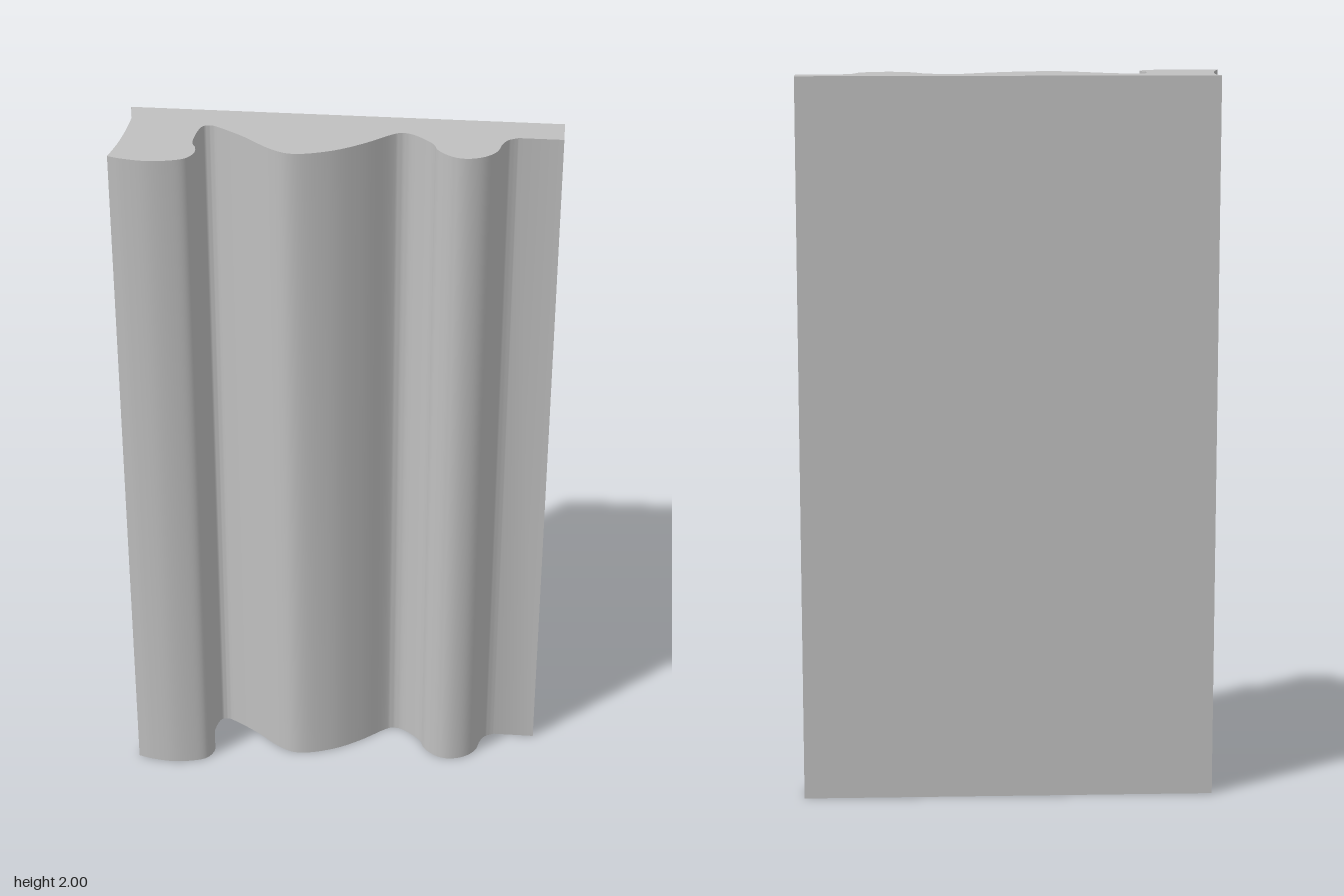
import * as THREE from 'three';
import { toCreasedNormals } from 'three/addons/utils/BufferGeometryUtils.js';

// Profile points are [x, z]; the shape's y axis is -z so it can be stood upright
const toShape = (points) => points.map(([x, z]) => new THREE.Vector2(x, -z));

// Slightly hollow outer edge, from the back to the front corner
const sideEdge = [
  [-0.56, -0.15], [-0.55, -0.1], [-0.553, -0.03], [-0.562, 0.045], [-0.572, 0.095], [-0.58, 0.128],
];

// Moulded face: thick lip, deep cove, broad swell, small bead and flat
const mouldedFace = [
  [-0.58, 0.128], [-0.54, 0.139], [-0.478, 0.146], [-0.42, 0.138], [-0.38, 0.122],
  [-0.361, 0.09], [-0.363, 0.06], [-0.373, 0.035], [-0.37, -0.015], [-0.36, -0.053],
  [-0.343, -0.063], [-0.319, -0.056], [-0.247, -0.009], [-0.17, 0.053], [-0.106, 0.075],
  [-0.013, 0.05], [0.066, 0.003], [0.137, -0.054], [0.166, -0.064], [0.197, -0.053],
  [0.243, -0.013], [0.259, 0.022], [0.294, 0.053], [0.334, 0.063], [0.378, 0.05],
  [0.41, 0.019], [0.422, -0.022], [0.437, -0.048], [0.463, -0.062],
];

export function createModel() {
  const group = new THREE.Group();
  group.name = 'mouldingSection';
  const paintedGrey = new THREE.MeshStandardMaterial({ color: 0xc0c0c0 });
  paintedGrey.name = 'paintedGrey';

  // Closed cross-section with a straight back and square thin edge
  const profile = new THREE.Shape();
  profile.moveTo(-0.56, 0.15);
  profile.splineThru(toShape(sideEdge).slice(1));
  profile.splineThru(toShape(mouldedFace).slice(1));
  profile.lineTo(0.58, 0.062);
  profile.lineTo(0.58, 0.15);
  profile.closePath();

  // Extrude the section along the length and stand it upright
  const geometry = new THREE.ExtrudeGeometry(profile, { depth: 2, bevelEnabled: false, curveSegments: 5 });
  geometry.rotateX(-Math.PI / 2);

  const moulding = new THREE.Mesh(toCreasedNormals(geometry, Math.PI / 5), paintedGrey);
  moulding.name = 'moulding';
  group.add(moulding);
  return group;
}
